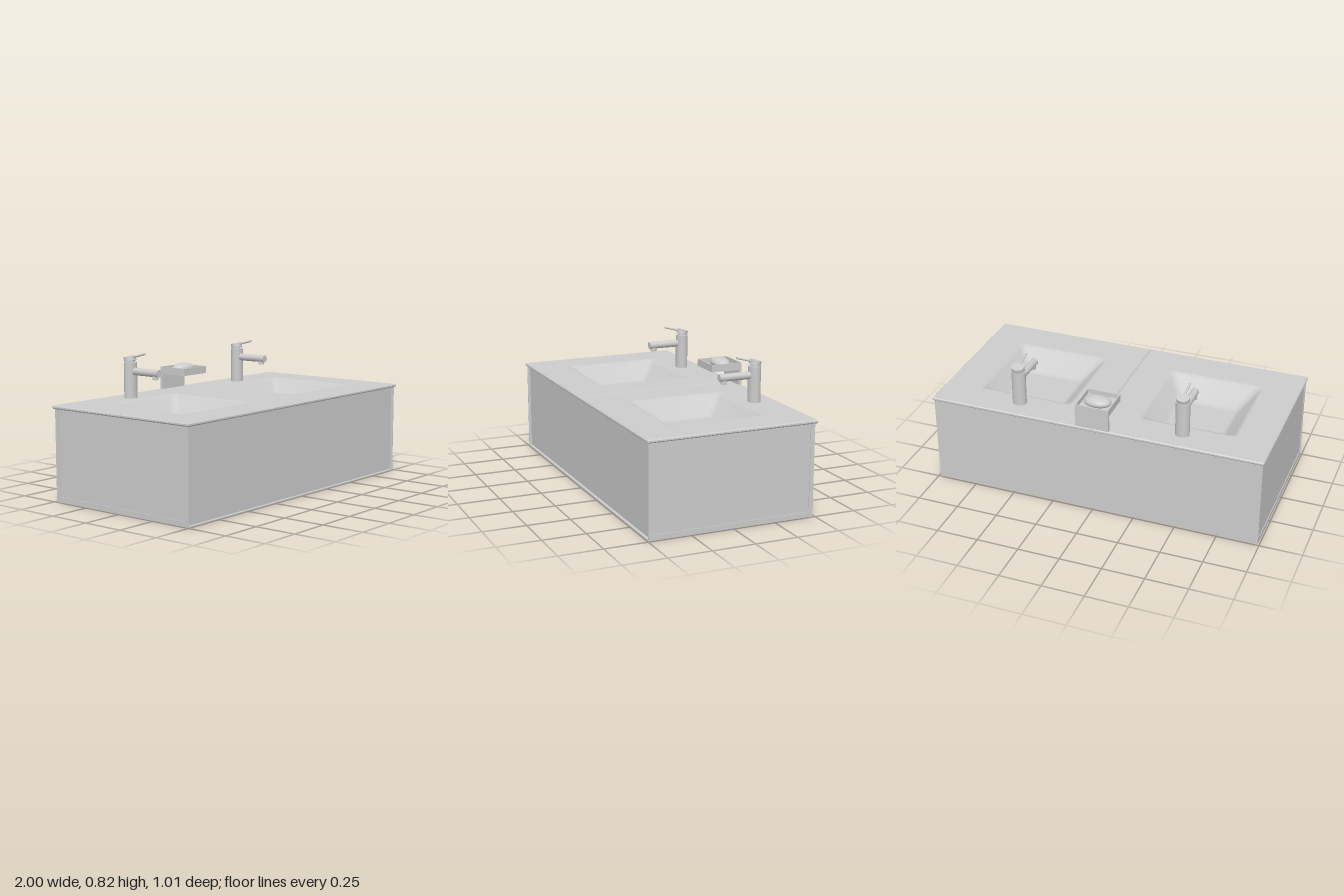
import * as THREE from 'three';
import { toCreasedNormals } from 'three/addons/utils/BufferGeometryUtils.js';

const grey = new THREE.MeshStandardMaterial({ color: 0xcccccc });
const greyDouble = new THREE.MeshStandardMaterial({ color: 0xcccccc, side: THREE.DoubleSide });

function add(parent, name, geometry, x = 0, y = 0, z = 0, material = grey) {
  const mesh = new THREE.Mesh(geometry, material);
  mesh.name = name;
  mesh.position.set(x, y, z);
  parent.add(mesh);
  return mesh;
}

// Box given by its extents on each axis
function slab(parent, name, [x0, x1], [y0, y1], [z0, z1]) {
  return add(parent, name, new THREE.BoxGeometry(x1 - x0, y1 - y0, z1 - z0),
    (x0 + x1) / 2, (y0 + y1) / 2, (z0 + z1) / 2);
}

// Corner-rounded rectangle as a loop of 2D points
function roundedLoop(hx, hz, cz, r, segments = 4) {
  const points = [];
  [[1, 1], [-1, 1], [-1, -1], [1, -1]].forEach(([sx, sz], corner) => {
    for (let i = 0; i <= segments; i++) {
      const a = (corner + i / segments) * Math.PI / 2;
      points.push(new THREE.Vector2(sx * (hx - r) + r * Math.cos(a), cz + sz * (hz - r) + r * Math.sin(a)));
    }
  });
  return points;
}

// Soft rim, sloping walls and a softly joined flat floor, lofted through rounded rectangles
function basinGeometry() {
  const floorY = 0.44;
  const sections = [
    [0.292, 0.296, -0.005, 0.03, 0.552],
    [0.28, 0.285, -0.004, 0.035, 0.549],
    [0.268, 0.272, -0.004, 0.04, 0.538],
    [0.185, 0.178, -0.014, 0.04, floorY + 0.01],
    [0.17, 0.162, -0.015, 0.035, floorY],
    [0.155, 0.147, -0.015, 0.03, floorY],
  ];
  const positions = [], index = [];
  let n = 0;
  for (const [hx, hz, cz, r, y] of sections) {
    const loop = roundedLoop(hx, hz, cz, r);
    n = loop.length;
    loop.forEach((p) => positions.push(p.x, y, p.y));
  }
  const centre = positions.length / 3;
  positions.push(0, floorY, -0.015);
  const last = (sections.length - 1) * n;
  for (let i = 0; i < n; i++) {
    const j = (i + 1) % n;
    for (let base = 0; base < last; base += n) {
      index.push(base + i, base + n + i, base + j, base + j, base + n + i, base + n + j);
    }
    index.push(centre, last + j, last + i);
  }
  const geometry = new THREE.BufferGeometry();
  geometry.setAttribute('position', new THREE.Float32BufferAttribute(positions, 3));
  geometry.setIndex(index);
  return toCreasedNormals(geometry, 0.8);
}

// Half worktop with bevelled edges and a cut-out for its basin
function worktopGeometry(x0, x1) {
  const b = 0.006;
  const shape = new THREE.Shape([[x0, -0.503], [x1, -0.503], [x1, 0.503], [x0, 0.503]]
    .map(([x, y]) => new THREE.Vector2(x, y)));
  // Shape y becomes -z once laid flat
  shape.holes.push(new THREE.Path(roundedLoop(0.286, 0.29, 0.005, 0.024)));
  return new THREE.ExtrudeGeometry(shape, {
    depth: 0.02 - 2 * b, bevelThickness: b, bevelSize: b, bevelOffset: -b, bevelSegments: 1,
  }).rotateX(-Math.PI / 2).translate(0, 0.532 + b, 0);
}

function createTap() {
  const tap = new THREE.Group();
  tap.name = 'tap';
  const oval = 1.15;
  add(tap, 'tapBody', new THREE.CylinderGeometry(0.036, 0.036, 0.21, 32).scale(oval, 1, 1), 0, 0.655, -0.375);
  add(tap, 'tapNeck', new THREE.CylinderGeometry(0.024, 0.024, 0.02, 24), 0, 0.766, -0.376);
  add(tap, 'spout', new THREE.CylinderGeometry(0.022, 0.022, 0.22, 24).rotateX(Math.PI / 2), 0, 0.708, -0.262);
  add(tap, 'aerator', new THREE.CylinderGeometry(0.018, 0.018, 0.03, 20), 0, 0.686, -0.18);

  // Tilted cap with its lever pointing forward
  const handle = new THREE.Group();
  handle.name = 'tapHandle';
  handle.position.set(0, 0.779, -0.379);
  handle.rotation.x = -0.26;
  add(handle, 'handleCap', new THREE.CylinderGeometry(0.033, 0.033, 0.028, 32).scale(oval, 1, 1));
  add(handle, 'lever', new THREE.CylinderGeometry(0.006, 0.006, 0.11, 12).rotateX(Math.PI / 2), 0, 0.004, 0.07);
  tap.add(handle);
  return tap;
}

function createCabinet() {
  const cabinet = new THREE.Group();
  cabinet.name = 'cabinet';
  const full = [0, 0.535];
  const outer = 0.991, inset = 0.987;
  slab(cabinet, 'bottomBoard', [-outer, outer], [0, 0.005], [-0.49, 0.495]);
  slab(cabinet, 'backPanel', [-inset, inset], full, [-0.49, -0.48]);
  slab(cabinet, 'frontPanel', [-inset, inset], full, [0.465, 0.478]);
  // Thin frame standing proud of each side panel
  for (const s of [-1, 1]) {
    const span = (a, b) => (s > 0 ? [a, b] : [-b, -a]);
    slab(cabinet, 'sidePanel', span(inset - 0.01, inset), full, [-0.49, 0.478]);
    slab(cabinet, 'sideRail', span(inset, outer), [0.005, 0.03], [-0.465, 0.478]);
    slab(cabinet, 'backPost', span(inset, outer), full, [-0.49, -0.465]);
    slab(cabinet, 'frontEdge', span(inset, outer), full, [0.478, 0.495]);
  }
  return cabinet;
}

function createSoapHolder() {
  const holder = new THREE.Group();
  holder.name = 'soapHolder';
  const t = 0.006;
  slab(holder, 'backPlate', [-0.1, 0.1], [0.535, 0.645], [-0.498, -0.48]);
  slab(holder, 'trayFloor', [-0.1, 0.1], [0.645, 0.66], [-0.498, -0.302]);
  slab(holder, 'trayFront', [-0.1, 0.1], [0.66, 0.688], [-0.302 - t, -0.302]);
  slab(holder, 'trayBack', [-0.1, 0.1], [0.66, 0.688], [-0.498, -0.498 + t]);
  for (const x of [-0.1, 0.1 - t]) {
    slab(holder, 'trayEnd', [x, x + t], [0.66, 0.688], [-0.498 + t, -0.302 - t]);
  }
  add(holder, 'soap', new THREE.SphereGeometry(1, 32, 20).scale(0.082, 0.032, 0.055), 0, 0.678, -0.402);
  return holder;
}

export function createModel() {
  const model = new THREE.Group();
  model.name = 'doubleVanity';
  model.add(createCabinet(), createSoapHolder());

  const basin = basinGeometry();
  for (const s of [-1, 1]) {
    const station = new THREE.Group();
    station.name = s > 0 ? 'leftStation' : 'rightStation';
    station.position.x = s * 0.495;
    // The halves meet at x = 0, their bevels forming the joint
    const inner = -s * 0.495, outer = s * 0.505;
    add(station, 'worktop', worktopGeometry(Math.min(inner, outer), Math.max(inner, outer)));
    add(station, 'basin', basin, 0, 0, 0, greyDouble);
    station.add(createTap());
    model.add(station);
  }
  return model;
}
